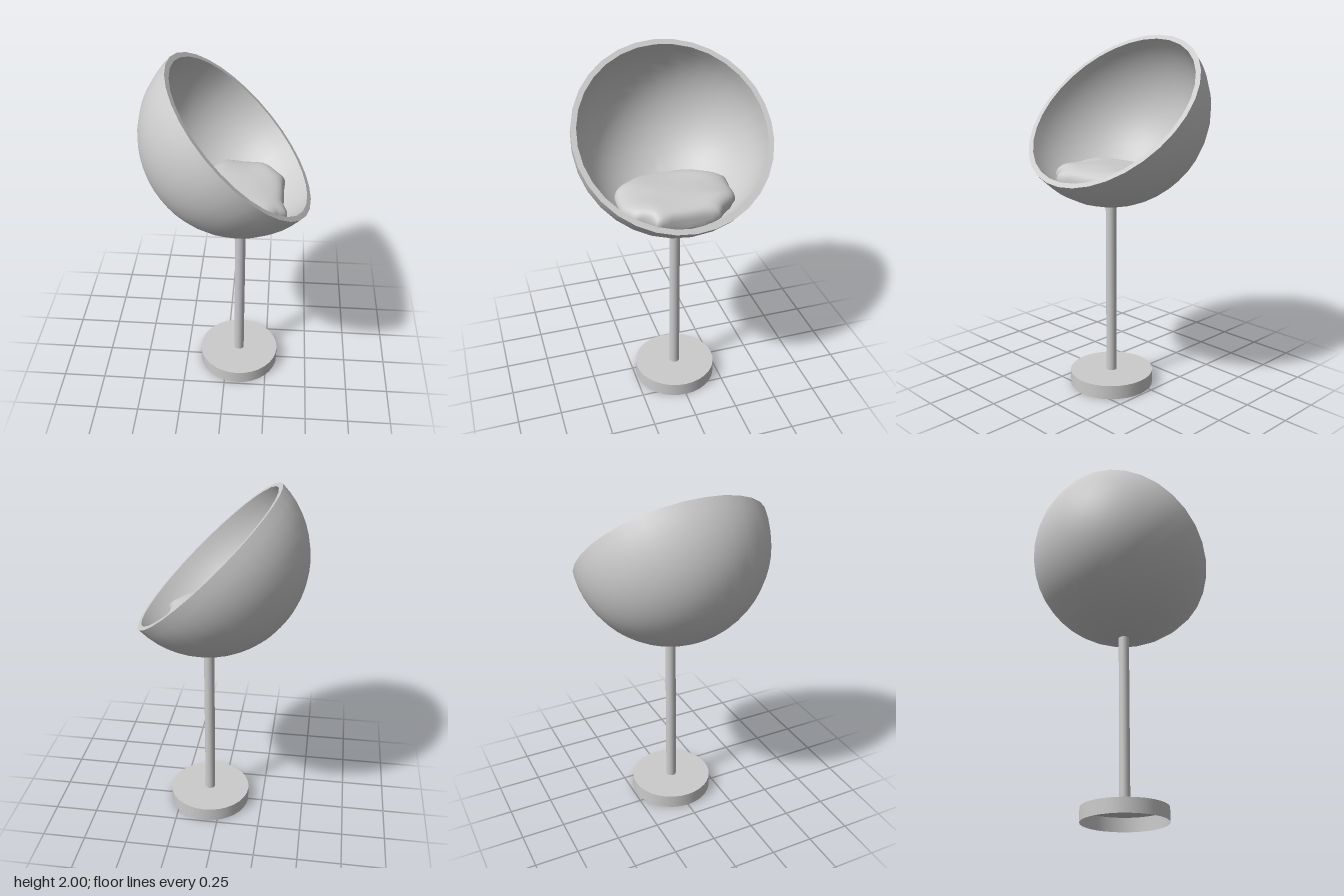
import * as THREE from 'three';

const CX = 0.077;          // shared axis of base, pole and bowl
const BOWL_Y = 1.615;      // centre of the bowl's rim
const R_OUT = 0.545, R_IN = 0.515;

const grey = new THREE.MeshStandardMaterial({ color: 0xcccccc, side: THREE.DoubleSide });

function part(name, geometry, x = 0, y = 0, z = 0) {
  const mesh = new THREE.Mesh(geometry, grey);
  mesh.name = name;
  mesh.position.set(x, y, z);
  return mesh;
}

const lathe = (points, segments = 32) =>
  new THREE.LatheGeometry(points.map(([x, y]) => new THREE.Vector2(x, y)), segments);

// Quarter circle from the bottom pole up to the rim
function quarter(radius, steps = 14) {
  return Array.from({ length: steps + 1 }, (_, i) => {
    const a = (i / steps) * Math.PI / 2;
    return [radius * Math.sin(a), -radius * Math.cos(a)];
  });
}

// Hollow half sphere tilted 45 degrees towards +x
function createBowl() {
  const bowl = new THREE.Group();
  bowl.name = 'bowl';
  bowl.add(
    part('bowlOuterShell', lathe(quarter(R_OUT))),
    part('bowlRim', lathe([[R_OUT, 0], [R_IN, 0]])),
    part('bowlInnerShell', lathe(quarter(R_IN).reverse())),
  );
  bowl.position.set(CX, BOWL_Y, 0);
  bowl.rotation.z = -Math.PI / 4;
  return bowl;
}

// Soft pillow: a squared-off ellipsoid with rumpled corners, moulded to the bowl
function createCushion() {
  const geometry = new THREE.SphereGeometry(1, 64, 40);
  const pos = geometry.attributes.position;
  const half = new THREE.Vector3(0.24, 0.105, 0.325);
  const centre = new THREE.Vector3(0.075, 1.205, 0);
  const bowlCentre = new THREE.Vector3(CX, BOWL_Y, 0);
  // Folds sticking out at the seam: plan angle, width, size
  const folds = [[0.56, 0.09, 0.15], [-2.6, 0.2, 0.12], [-1.85, 0.1, 0.07],
    [-0.62, 0.12, 0.07], [2.5, 0.2, 0.07], [1.0, 0.1, 0.05]];
  const power = (v, e) => Math.sign(v) * Math.pow(Math.abs(v), e);
  const v = new THREE.Vector3();

  for (let i = 0; i < pos.count; i++) {
    v.fromBufferAttribute(pos, i);
    const flat = Math.hypot(v.x, v.z);
    const angle = Math.atan2(v.z, v.x);
    const spread = power(flat, 0.5);
    const px = power(Math.cos(angle), 0.55) * spread;
    const pz = power(Math.sin(angle), 0.55) * spread;
    const plan = Math.atan2(pz * half.z, px * half.x);
    let grow = 1 - 0.1 * Math.pow(Math.sin(2 * angle), 2) * spread;
    for (const [at, width, size] of folds) {
      const d = Math.atan2(Math.sin(plan - at), Math.cos(plan - at)) / width;
      grow += size * Math.exp(-d * d) * Math.pow(flat, 6);
    }
    const dimple = v.y > 0 ? 0.012 * (1 - spread) - 0.006 * Math.sin(5 * px + 1) * Math.cos(4 * pz) : 0;
    v.set(px * half.x * grow, power(v.y, 0.6) * half.y - dimple, pz * half.z * grow).add(centre);
    // Press anything outside the bowl back against its inner wall
    v.sub(bowlCentre).clampLength(0, R_IN - 0.008).add(bowlCentre);
    pos.setXYZ(i, v.x, v.y, v.z);
  }
  geometry.computeVertexNormals();
  return part('cushion', geometry);
}

// Base cap open underneath, with a hole where the hollow pole meets it
function createStand() {
  const stand = new THREE.Group();
  stand.name = 'stand';
  const poleR = 0.03, baseR = 0.24, baseH = 0.08, top = 1.076;
  stand.add(
    part('baseSide', lathe([[baseR, 0], [baseR, baseH]])),
    part('baseTop', lathe([[baseR, baseH], [poleR, baseH]])),
    part('pole', new THREE.CylinderGeometry(poleR, poleR, top - baseH, 32, 1, true), 0, (top + baseH) / 2),
  );
  stand.position.x = CX;
  return stand;
}

export function createModel() {
  const model = new THREE.Group();
  model.name = 'bowlChair';
  model.add(createStand(), createBowl(), createCushion());
  return model;
}
